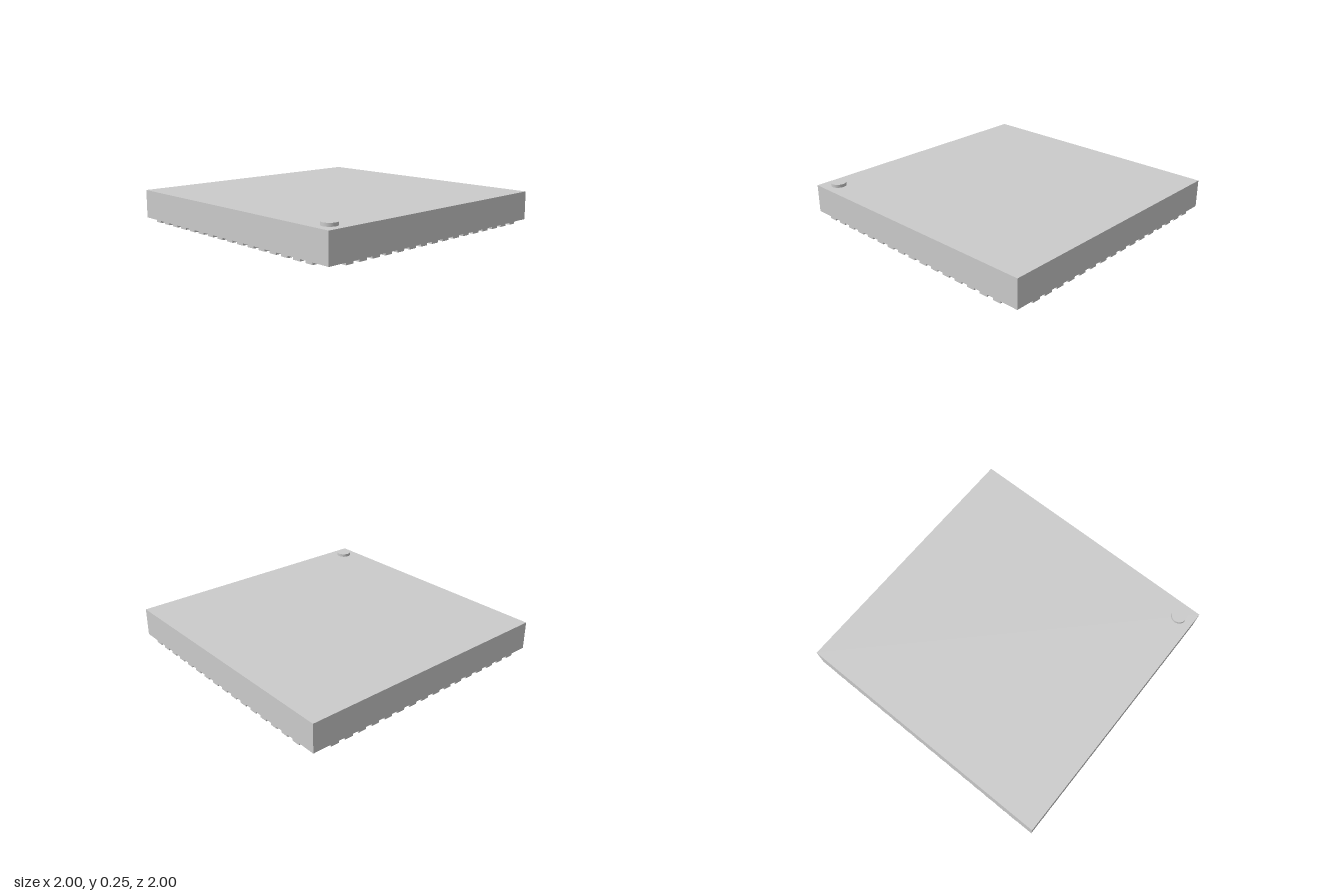
import * as THREE from 'three';

const PAD_H = 0.015, BODY_TOP = 0.224, TOP = 0.247;
const PITCH = 1 / 9, PADS_PER_SIDE = 16, PAD_W = 0.062, PAD_L = 0.107;

export function createModel() {
  const group = new THREE.Group();
  const material = new THREE.MeshStandardMaterial({ color: 0xcccccc });

  const add = (name, geometry, x, y, z, parent = group) => {
    const mesh = new THREE.Mesh(geometry, material);
    mesh.name = name;
    mesh.position.set(x, y, z);
    parent.add(mesh);
    return mesh;
  };

  // Square package body
  const bodyH = BODY_TOP - PAD_H;
  add('body', new THREE.BoxGeometry(2, bodyH, 2), 0, PAD_H + bodyH / 2, 0);

  // Raised round marker in the front corner
  const dotH = TOP - BODY_TOP;
  add('cornerMarker', new THREE.CylinderGeometry(0.055, 0.055, dotH, 48),
    -0.889, BODY_TOP + dotH / 2, 0.889);

  // Large square pad under the centre
  add('centrePad', new THREE.BoxGeometry(1.23, PAD_H, 1.23), 0, PAD_H / 2, 0);

  // Row of contact pads along each of the four edges
  const padGeometry = new THREE.BoxGeometry(PAD_W, PAD_H, PAD_L);
  for (let side = 0; side < 4; side++) {
    const row = new THREE.Group();
    row.name = 'contactRow' + (side + 1);
    row.rotation.y = side * Math.PI / 2;
    for (let i = 0; i < PADS_PER_SIDE; i++) {
      const x = (i - (PADS_PER_SIDE - 1) / 2) * PITCH;
      add('contactPad', padGeometry, x, PAD_H / 2, 1 - PAD_L / 2, row);
    }
    group.add(row);
  }

  return group;
}
